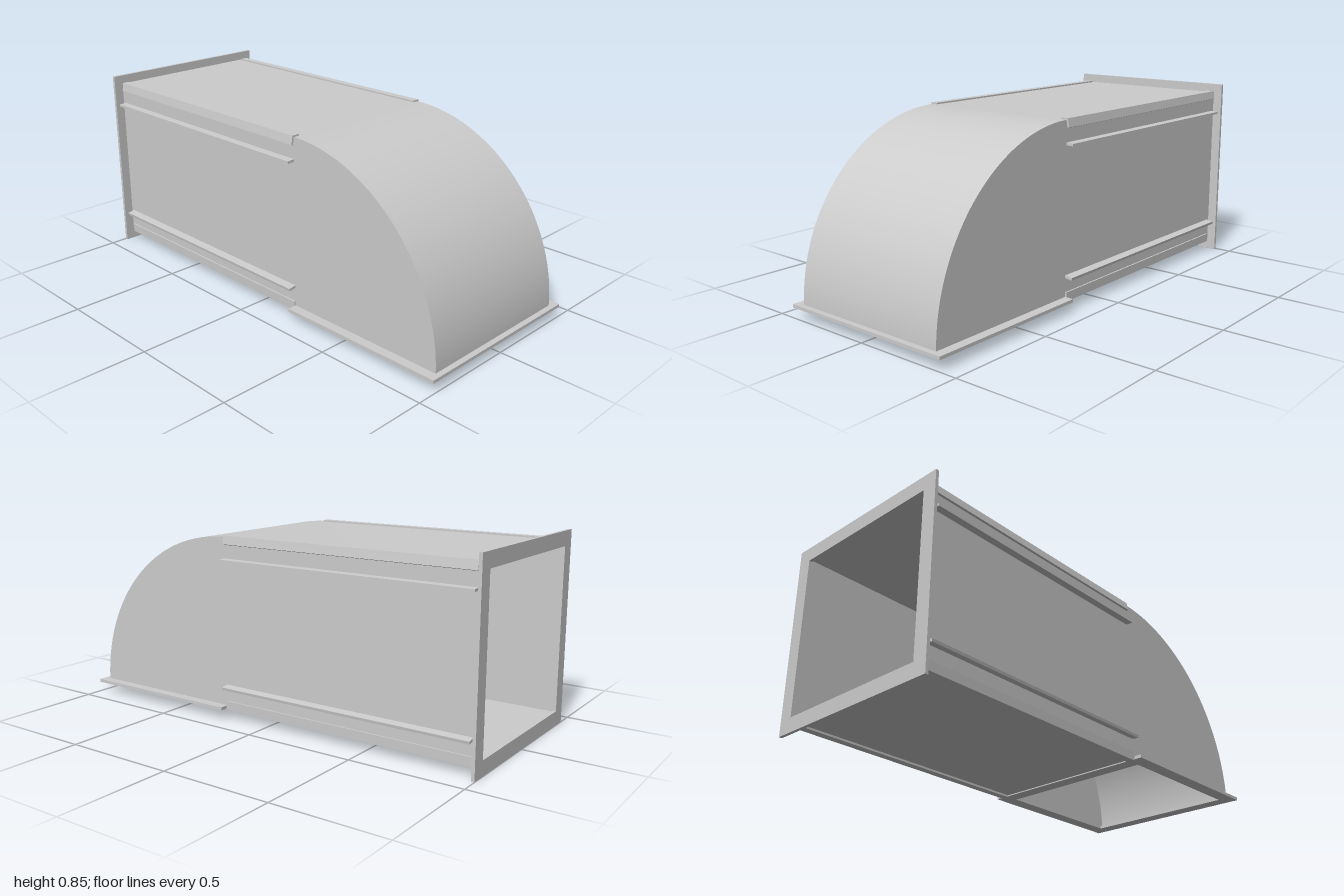
import * as THREE from 'three';
import { toCreasedNormals } from 'three/addons/utils/BufferGeometryUtils.js';

const HALF = 0.38;      // half width of the duct
const WALL = 0.006;     // sheet thickness
const BOTTOM = 0.05, TOP = 0.805;
const BEND = 0.22;      // z where the straight run meets the bend
const BACK = -0.99;
const RAIL_END = -0.97;

export function createModel() {
  const model = new THREE.Group();
  const material = new THREE.MeshStandardMaterial({ color: 0xcccccc, side: THREE.DoubleSide });

  const add = (name, geometry) => {
    const mesh = new THREE.Mesh(geometry, material);
    mesh.name = name;
    model.add(mesh);
    return mesh;
  };

  // Extrudes a (z, y) outline across x, centred on xCentre
  const extrudeAcross = (shape, width, xCentre) => {
    const g = new THREE.ExtrudeGeometry(shape, { depth: width, bevelEnabled: false, curveSegments: 48 });
    g.rotateY(-Math.PI / 2).translate(xCentre + width / 2, 0, 0);
    return toCreasedNormals(g, 0.5);
  };

  // Flat rectangular frame in the XY plane
  const frame = (w, h, border, depth) => {
    const rect = (P, a, b) => new P([[-a, -b], [a, -b], [a, b], [-a, b]].map(([x, y]) => new THREE.Vector2(x, y)));
    const s = rect(THREE.Shape, w / 2, h / 2);
    s.holes.push(rect(THREE.Path, w / 2 - border, h / 2 - border));
    return new THREE.ExtrudeGeometry(s, { depth, bevelEnabled: false }).translate(0, 0, -depth / 2);
  };

  // Curved top skin: straight run plus quarter bend
  const R = TOP - BOTTOM;
  const skin = new THREE.Shape();
  skin.moveTo(BACK, TOP);
  skin.lineTo(BEND, TOP);
  skin.absarc(BEND, BOTTOM, R, Math.PI / 2, 0, true);
  skin.lineTo(BEND + R - WALL, BOTTOM);
  skin.absarc(BEND, BOTTOM, R - WALL, 0, Math.PI / 2, false);
  skin.lineTo(BACK, TOP - WALL);
  skin.closePath();
  add('topSkin', extrudeAcross(skin, HALF * 2 - 0.002, 0));

  // Side panels
  const panel = new THREE.Shape();
  panel.moveTo(BACK, BOTTOM);
  panel.lineTo(BACK, TOP);
  panel.lineTo(BEND, TOP);
  panel.absarc(BEND, BOTTOM, R, Math.PI / 2, 0, true);
  panel.closePath();
  for (const s of [-1, 1]) {
    add(s > 0 ? 'leftPanel' : 'rightPanel', extrudeAcross(panel, WALL, s * (HALF - WALL / 2)));
  }

  // Floor of the straight run
  add('floor', new THREE.BoxGeometry(HALF * 2 - 0.002, WALL, BEND + 0.02 - BACK)
    .translate(0, BOTTOM + WALL / 2, (BEND + 0.02 + BACK) / 2));

  // Flanges around the back opening and the downward opening
  add('backFlange', frame(0.845, 0.845, 0.065, 0.014)).position.set(0, 0.4225, -0.993);
  const outlet = add('bottomFlange', frame(0.845, 0.78, 0.063, 0.014));
  outlet.rotation.x = -Math.PI / 2;
  outlet.position.set(0, 0.052, 0.61);

  // Rails along the straight run, drawn as (x, y) sections and mirrored
  const rails = {
    UpperCornerRail: [[0.352, 0.804], [0.352, 0.812], [0.387, 0.812], [0.393, 0.775], [0.385, 0.772], [0.379, 0.804]],
    LowerCornerRail: [[0.352, 0.049], [0.352, 0.04], [0.387, 0.04], [0.388, 0.08], [0.381, 0.08], [0.379, 0.049]],
    UpperRib: [[0.376, 0.702], [0.414, 0.700], [0.414, 0.711], [0.376, 0.713]],
    LowerRib: [[0.376, 0.142], [0.413, 0.136], [0.415, 0.148], [0.376, 0.154]],
  };
  for (const [name, points] of Object.entries(rails)) {
    for (const s of [-1, 1]) {
      const shape = new THREE.Shape(points.map(([x, y]) => new THREE.Vector2(s * x, y)));
      const g = new THREE.ExtrudeGeometry(shape, { depth: BEND - RAIL_END, bevelEnabled: false });
      add((s > 0 ? 'left' : 'right') + name, g.translate(0, 0, RAIL_END));
    }
  }

  return model;
}
